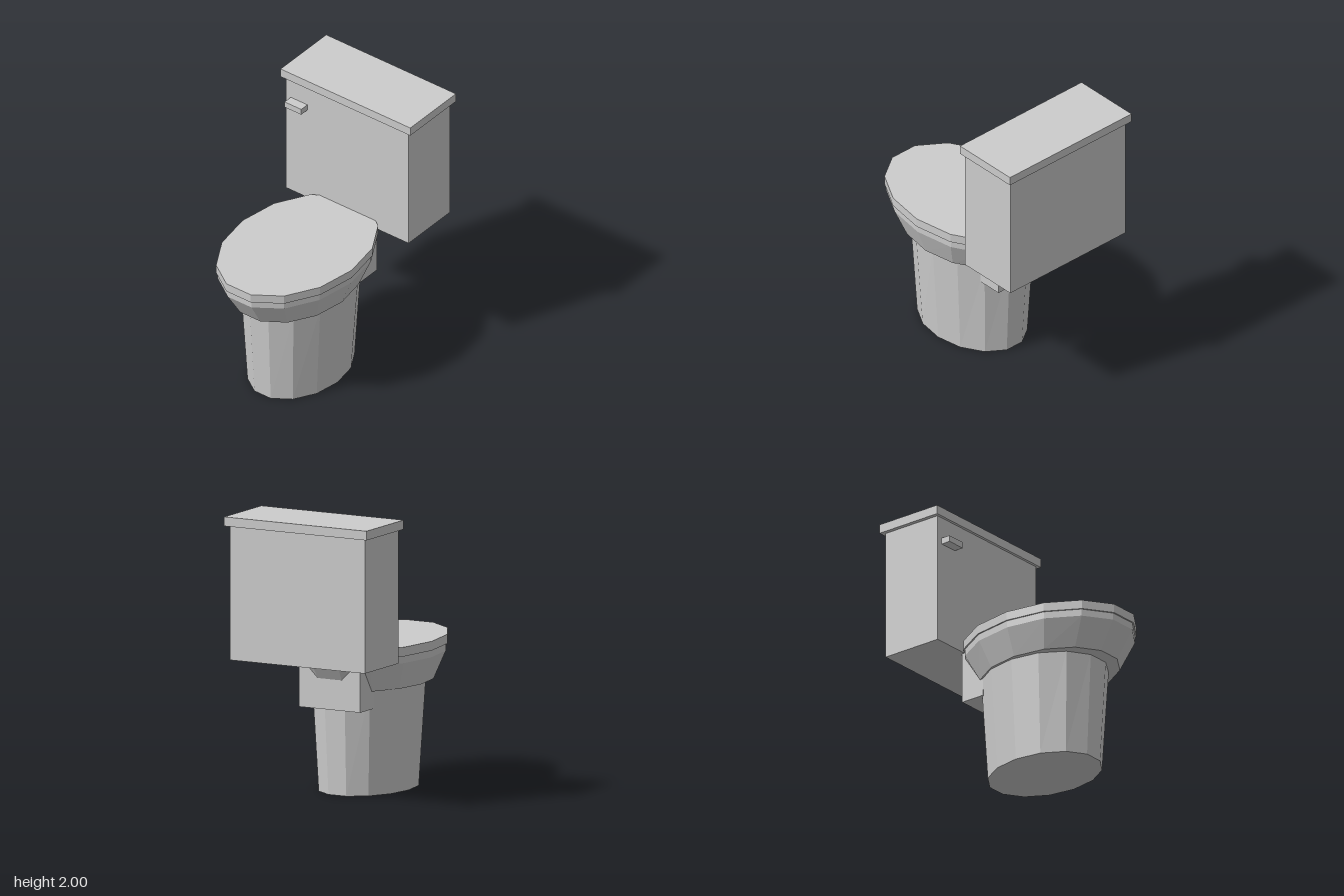
import * as THREE from 'three';

const SIDES = 14;

// Elliptical frustum; each ring is { y, rx, rz, cz }
function ellipseFrustum(low, high) {
  const geo = new THREE.CylinderGeometry(1, 1, 1, SIDES);
  geo.rotateY(Math.PI / SIDES); // corners on the x axis
  const p = geo.attributes.position;
  for (let i = 0; i < p.count; i++) {
    const r = p.getY(i) > 0 ? high : low;
    p.setXYZ(i, p.getX(i) * r.rx, r.y, p.getZ(i) * r.rz + r.cz);
  }
  geo.computeVertexNormals();
  return geo;
}

// Box from its min and max corners
function boxBetween([x0, y0, z0], [x1, y1, z1]) {
  return new THREE.BoxGeometry(x1 - x0, y1 - y0, z1 - z0)
    .translate((x0 + x1) / 2, (y0 + y1) / 2, (z0 + z1) / 2);
}

export function createModel() {
  const model = new THREE.Group();
  model.name = 'toilet';
  const ceramic = new THREE.MeshStandardMaterial({ color: 0xcccccc, flatShading: true });
  ceramic.name = 'ceramic';

  const add = (name, geometry) => {
    const mesh = new THREE.Mesh(geometry, ceramic);
    mesh.name = name;
    model.add(mesh);
  };

  // Tapered foot
  add('pedestal', ellipseFrustum(
    { y: 0, rx: 0.32, rz: 0.446, cz: 0.155 },
    { y: 0.75, rx: 0.37, rz: 0.489, cz: 0.155 }));

  // Flared bowl with a straight rim
  const bowlBase = { y: 0.745, rx: 0.395, rz: 0.543, cz: 0.2 };
  const rimLow = { y: 0.94, rx: 0.47, rz: 0.667, cz: 0.2 };
  add('bowl', ellipseFrustum(bowlBase, rimLow));
  add('rim', ellipseFrustum(rimLow, { ...rimLow, y: 0.99 }));

  // Closed seat
  const seat = { y: 0.99, rx: 0.48, rz: 0.678, cz: 0.2 };
  add('seatLid', ellipseFrustum(seat, { ...seat, y: 1.055 }));

  // Block carrying the tank
  add('tankSupport', boxBetween([-0.245, 0.62, -0.385], [0.245, 0.99, -0.2]));

  // Tank, its cover and the flush lever
  add('tank', boxBetween([-0.54, 0.99, -0.83], [0.54, 1.935, -0.365]));
  add('tankCover', boxBetween([-0.57, 1.935, -0.86], [0.57, 2, -0.345]));
  add('flushLever', boxBetween([-0.495, 1.735, -0.37], [-0.35, 1.78, -0.295]));

  return model;
}
